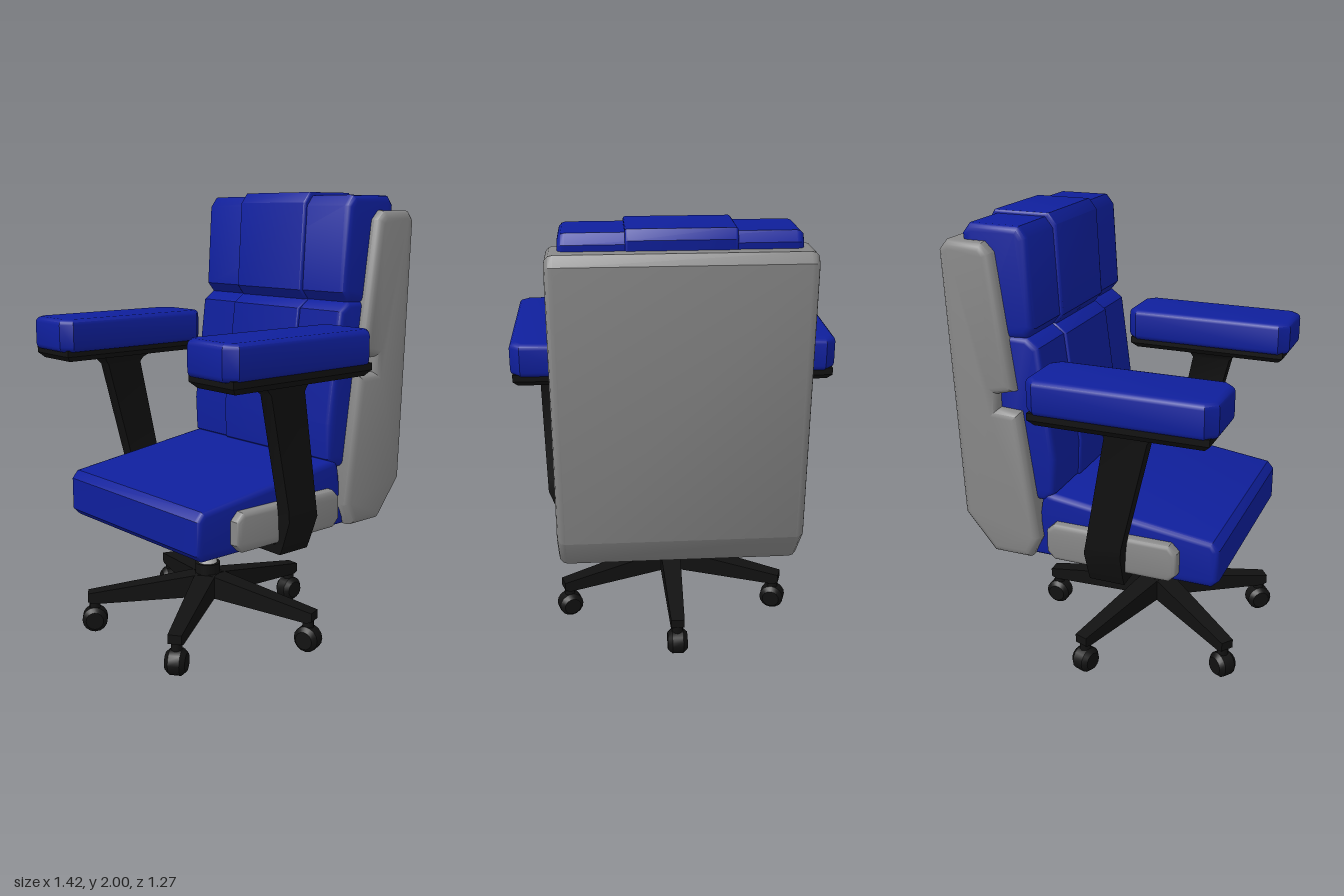
import * as THREE from 'three';
import { toCreasedNormals, mergeVertices } from 'three/addons/utils/BufferGeometryUtils.js';

const mat = (color) => new THREE.MeshStandardMaterial({ color });
const BLUE = mat(0x0f1f9c), BLACK = mat(0x111111), SHELL = mat(0x888888), STEEL = mat(0xcccccc);

function add(parent, name, geometry, material) {
  const mesh = new THREE.Mesh(geometry, material);
  mesh.name = name;
  parent.add(mesh);
  return mesh;
}

// Bevelled extrusion whose outline and depth include the bevel
function extrude(points, depth, bevel) {
  const shape = new THREE.Shape(points.map(([a, b]) => new THREE.Vector2(a, b)));
  const g = new THREE.ExtrudeGeometry(shape, {
    depth: depth - 2 * bevel, bevelEnabled: bevel > 0, bevelSize: bevel,
    bevelThickness: bevel, bevelOffset: -bevel, bevelSegments: 3,
  });
  g.translate(0, 0, bevel);
  return toCreasedNormals(g, 0.65);
}

// Side profile of [z, y] points spanning x0..x1
function slab(profile, x0, x1, bevel) {
  return extrude(profile, x1 - x0, bevel).rotateY(-Math.PI / 2).translate(x1, 0, 0);
}

// Rectangle with cut corners
function cutRect(a0, a1, b0, b1, c) {
  return [[a0 + c, b0], [a1 - c, b0], [a1, b0 + c], [a1, b1 - c],
    [a1 - c, b1], [a0 + c, b1], [a0, b1 - c], [a0, b0 + c]];
}

// Horizontal plate from a cut-corner plan
function plate(x0, x1, z0, z1, y0, y1, cut, bevel) {
  return extrude(cutRect(x0, x1, -z1, -z0, cut), y1 - y0, bevel).rotateX(-Math.PI / 2).translate(0, y0, 0);
}

// Solid through rectangular sections [y, x0, x1, z0, z1], listed upwards
function loft(sections) {
  const pos = [], index = [];
  for (const [y, x0, x1, z0, z1] of sections) pos.push(x0, y, z0, x0, y, z1, x1, y, z1, x1, y, z0);
  for (let s = 0; s < sections.length - 1; s++) {
    for (let i = 0; i < 4; i++) {
      const a = s * 4 + i, b = s * 4 + (i + 1) % 4;
      index.push(a, b, b + 4, a, b + 4, a + 4);
    }
  }
  const t = (sections.length - 1) * 4;
  index.push(0, 2, 1, 0, 3, 2, t, t + 1, t + 2, t, t + 2, t + 3);
  const g = new THREE.BufferGeometry();
  g.setAttribute('position', new THREE.Float32BufferAttribute(pos, 3));
  g.setIndex(index);
  return toCreasedNormals(g, 0.6);
}

// One leg pointing along +z with its caster
function makeLeg() {
  const leg = new THREE.Group();
  leg.name = 'baseLeg';
  const beam = slab([[0, 0.17], [0.53, 0.14], [0.555, 0.15], [0.555, 0.19], [0.03, 0.275], [0, 0.275]], -0.05, 0.05, 0);
  const p = beam.attributes.position;
  for (let i = 0; i < p.count; i++) p.setX(i, p.getX(i) * (1 - 0.7 * p.getZ(i)));
  beam.computeVertexNormals();
  add(leg, 'legBeam', beam, BLACK);
  add(leg, 'casterStem', new THREE.CylinderGeometry(0.025, 0.025, 0.08, 12), BLACK).position.set(0, 0.125, 0.525);
  const wheel = [[0, -0.045], [0.04, -0.045], [0.058, -0.025], [0.058, 0.025], [0.04, 0.045], [0, 0.045]];
  const wg = new THREE.LatheGeometry(wheel.map(([r, y]) => new THREE.Vector2(r, y)), 16).rotateZ(Math.PI / 2);
  add(leg, 'casterWheel', toCreasedNormals(wg, 0.6), BLACK).position.set(0, 0.062, 0.525);
  return leg;
}

// Armrest on the left side, or mirrored to the right
function makeArm(side) {
  const arm = new THREE.Group();
  arm.name = side > 0 ? 'leftArm' : 'rightArm';
  const span = (a, b) => (side > 0 ? [a, b] : [-b, -a]);
  const section = (y, a, b, z0, z1) => [y, ...span(a, b), z0, z1];
  add(arm, 'armPad', plate(...span(0.415, 0.71), -0.17, 0.63, 1.29, 1.44, 0.045, 0.025), BLUE);
  add(arm, 'armPlate', loft([
    section(1.245, 0.46, 0.68, -0.13, 0.58),
    section(1.27, 0.435, 0.70, -0.155, 0.605),
    section(1.3, 0.435, 0.70, -0.155, 0.605),
  ]), BLACK);
  add(arm, 'armPost', loft([
    section(0.495, 0.37, 0.52, 0.03, 0.19),
    section(0.53, 0.37, 0.535, 0.03, 0.19),
    section(0.535, 0.49, 0.537, 0.03, 0.19),
    section(0.65, 0.51, 0.58, 0.03, 0.195),
    section(0.7, 0.515, 0.582, 0.04, 0.2),
    section(1.2, 0.535, 0.6, 0.135, 0.32),
    section(1.225, 0.52, 0.605, 0.125, 0.345),
    section(1.25, 0.48, 0.62, 0.1, 0.37),
  ]), BLACK);
  add(arm, 'seatSidePanel', slab(cutRect(-0.18, 0.42, 0.545, 0.715, 0.035), ...span(0.43, 0.515), 0.02), SHELL);
  return arm;
}

export function createModel() {
  const chair = new THREE.Group();
  chair.name = 'officeChair';

  // Five-legged base and gas lift
  const base = new THREE.Group();
  base.name = 'base';
  base.position.z = 0.155;
  chair.add(base);
  for (let i = 0; i < 5; i++) {
    const leg = makeLeg();
    leg.rotation.y = Math.PI + i * Math.PI * 2 / 5;
    base.add(leg);
  }
  const tube = (name, r, y0, y1, m) =>
    add(base, name, new THREE.CylinderGeometry(r, r, y1 - y0, 24), m).position.set(0, (y0 + y1) / 2, 0);
  tube('hub', 0.058, 0.17, 0.32, BLACK);
  tube('gasLift', 0.043, 0.3, 0.47, STEEL);
  tube('liftCollar', 0.058, 0.455, 0.54, BLACK);

  // Seat cushion
  add(chair, 'seat', slab([[-0.26, 0.53], [0.56, 0.53], [0.59, 0.56], [0.59, 0.705], [0.56, 0.74],
    [-0.16, 0.835], [-0.2, 0.835], [-0.22, 0.8]], -0.47, 0.47, 0.025), BLUE);

  // Backrest shell with a notch in each side
  add(chair, 'backShell', slab([[-0.26, 0.53], [-0.44, 0.53], [-0.58, 0.7], [-0.628, 1.88], [-0.595, 1.92],
    [-0.43, 1.92], [-0.39, 1.88], [-0.31, 1.3], [-0.39, 1.28], [-0.39, 1.215], [-0.29, 1.21],
    [-0.21, 0.63]].reverse(), -0.52, 0.52, 0.035), SHELL);

  // Back cushion and headrest, each with a raised centre panel
  const back = (f) => [[-0.42, 0.8], [-0.2 + f, 0.8], [-0.155 + f, 0.84], [-0.148 + f, 1.0],
    [-0.21 + f, 1.49], [-0.265 + f, 1.53], [-0.45, 1.53]];
  const head = (f) => [[-0.5, 1.5], [-0.265 + f, 1.525], [-0.228 + f, 1.57], [-0.25 + f, 1.94 + f],
    [-0.285 + f, 1.985 + f], [-0.51 - f, 1.985 + f], [-0.542 - f / 2, 1.945 + f]];
  add(chair, 'backCushion', slab(back(0), -0.47, 0.47, 0.025), BLUE);
  add(chair, 'backCentrePanel', slab(back(0.013), -0.22, 0.22, 0.01), BLUE);
  add(chair, 'headrest', slab(head(0), -0.47, 0.47, 0.03), BLUE);
  add(chair, 'headrestCentrePanel', slab(head(0.015), -0.215, 0.215, 0.01), BLUE);

  for (const side of [1, -1]) chair.add(makeArm(side));
  return chair;
}
